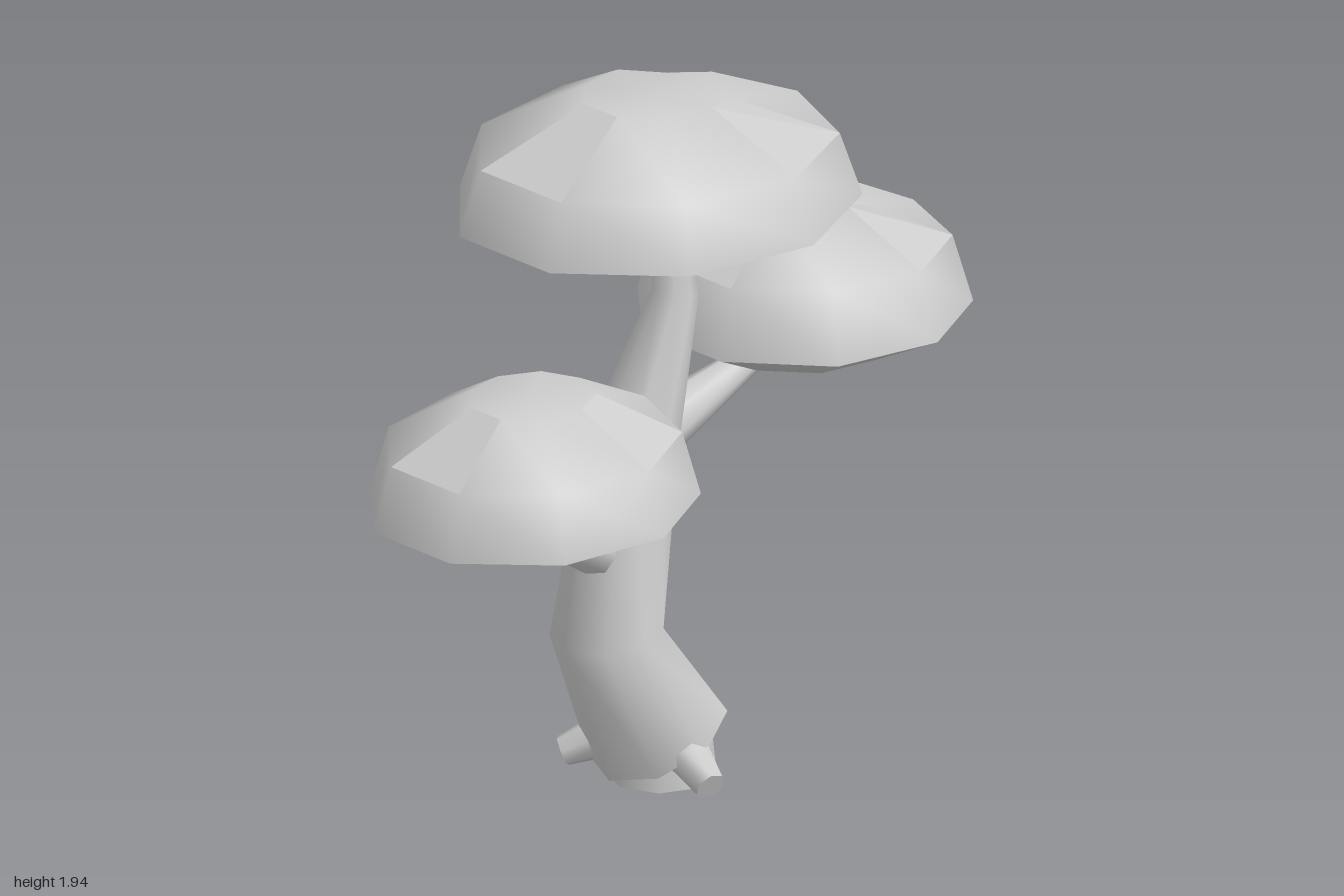
import * as THREE from 'three';
import { toCreasedNormals } from 'three/addons/utils/BufferGeometryUtils.js';

const SIDES = 9;
const V = (x, y, z) => new THREE.Vector3(x, y, z);

function geometryFrom(triangles) {
  return new THREE.BufferGeometry().setFromPoints(triangles);
}

// Skins rings of points from bottom to top and closes both ends.
// Quads picked out by isDent go to a second, flat-shaded list.
function loft(rings, bottom, top, isDent = () => false) {
  const skin = [], dents = [];
  const n = rings[0].length, last = rings[rings.length - 1];
  for (let i = 0; i < n; i++) {
    const j = (i + 1) % n;
    skin.push(bottom, rings[0][i], rings[0][j]);
    skin.push(top, last[j], last[i]);
    for (let k = 0; k < rings.length - 1; k++) {
      const a = rings[k], b = rings[k + 1];
      (isDent(k, i) ? dents : skin).push(a[i], b[i], b[j], a[i], b[j], a[j]);
    }
  }
  return { skin, dents };
}

// Tapered limb: each station is [x, y, z, radius]
function limb(name, stations, material, sides = 8) {
  const centres = stations.map(s => V(s[0], s[1], s[2]));
  const rings = centres.map((c, k) => {
    const prev = centres[Math.max(k - 1, 0)];
    const next = centres[Math.min(k + 1, centres.length - 1)];
    const dir = next.clone().sub(prev).normalize();
    const u = dir.clone().cross(V(0, 0, 1)).normalize();
    const w = u.clone().cross(dir);
    return Array.from({ length: sides }, (_, i) => {
      const a = i / sides * Math.PI * 2;
      return c.clone()
        .addScaledVector(u, Math.cos(a) * stations[k][3])
        .addScaledVector(w, Math.sin(a) * stations[k][3]);
    });
  });
  const { skin } = loft(rings, centres[0], centres[centres.length - 1]);
  const mesh = new THREE.Mesh(toCreasedNormals(geometryFrom(skin), 1), material);
  mesh.name = name;
  return mesh;
}

// Faceted canopy; profile rows are [radius factor, height], dip lowers the dented crown
function canopy(name, { x, z, rx, rz, profile, bottom, top, dip, tilt = 0 }, material) {
  const rings = profile.map(([f, y], k) =>
    Array.from({ length: SIDES }, (_, i) => {
      const a = i / SIDES * Math.PI * 2;
      const sunk = k === profile.length - 1 && (i === 1 || i === 8) ? dip : 0;
      const dx = Math.cos(a) * rx * f;
      return V(x + dx, y - sunk + dx * tilt, z + Math.sin(a) * rz * f);
    }));
  const { skin, dents } = loft(rings, V(x, bottom, z), V(x, top, z),
    (k, i) => k === profile.length - 2 && i % 3 === 1);
  const group = new THREE.Group();
  group.name = name;
  const dome = new THREE.Mesh(toCreasedNormals(geometryFrom(skin), 0.95), material);
  dome.name = name + 'Dome';
  const flat = geometryFrom(dents);
  flat.computeVertexNormals();
  const facets = new THREE.Mesh(flat, material);
  facets.name = name + 'Facets';
  group.add(dome, facets);
  return group;
}

export function createModel() {
  const model = new THREE.Group();
  model.name = 'tree';
  const grey = new THREE.MeshStandardMaterial({ color: 0xcccccc });
  grey.name = 'plain grey';

  // Trunk with its slanted skirt and the stump below
  model.add(limb('trunk', [
    [-0.035, 0.115, 0.05, 0.2], [-0.2, 0.445, 0.025, 0.153], [-0.115, 0.97, 0.035, 0.125],
    [0.06, 1.35, 0.015, 0.064], [0.045, 1.6, 0.005, 0.042],
  ], grey));
  model.add(limb('stump', [[-0.03, 0, 0.055, 0.15], [-0.03, 0.2, 0.055, 0.13]], grey));

  // Side branches
  model.add(limb('rightBranch', [
    [-0.17, 0.67, 0.04, 0.08], [-0.26, 0.71, 0.05, 0.075],
    [-0.48, 0.83, 0.08, 0.055], [-0.57, 0.95, 0.09, 0.045],
  ], grey));
  model.add(limb('leftBranch', [
    [-0.1, 0.96, 0.03, 0.085], [0.0, 0.985, 0.025, 0.08],
    [0.3, 1.07, 0.01, 0.045], [0.5, 1.14, 0, 0.035],
  ], grey));

  // Roots
  [['frontRoot', -0.085, 0.05, 0.31], ['leftRoot', 0.22, 0.065, -0.03],
    ['backRoot', -0.215, 0.06, -0.13]].forEach(([name, x, y, z]) =>
    model.add(limb(name, [[-0.03, 0.17, 0.05, 0.09], [x, y, z, 0.043]], grey, 7)));

  // Canopies
  model.add(canopy('topCanopy', {
    x: 0, z: 0, rx: 0.585, rz: 0.52, bottom: 1.56, top: 1.925, dip: 0.025,
    profile: [[0.53, 1.525], [1, 1.62], [0.89, 1.8], [0.36, 1.94]],
  }, grey));
  model.add(canopy('leftCanopy', {
    x: 0.535, z: 0, rx: 0.465, rz: 0.455, bottom: 1.1, top: 1.46, dip: 0.035,
    profile: [[0.55, 1.08], [1, 1.18], [0.88, 1.37], [0.34, 1.5]],
  }, grey));
  model.add(canopy('rightCanopy', {
    x: -0.535, z: 0.09, rx: 0.465, rz: 0.44, bottom: 0.87, top: 1.24, dip: 0, tilt: 0.03,
    profile: [[0.53, 0.86], [1, 0.93], [0.89, 1.11], [0.38, 1.235]],
  }, grey));
  return model;
}
